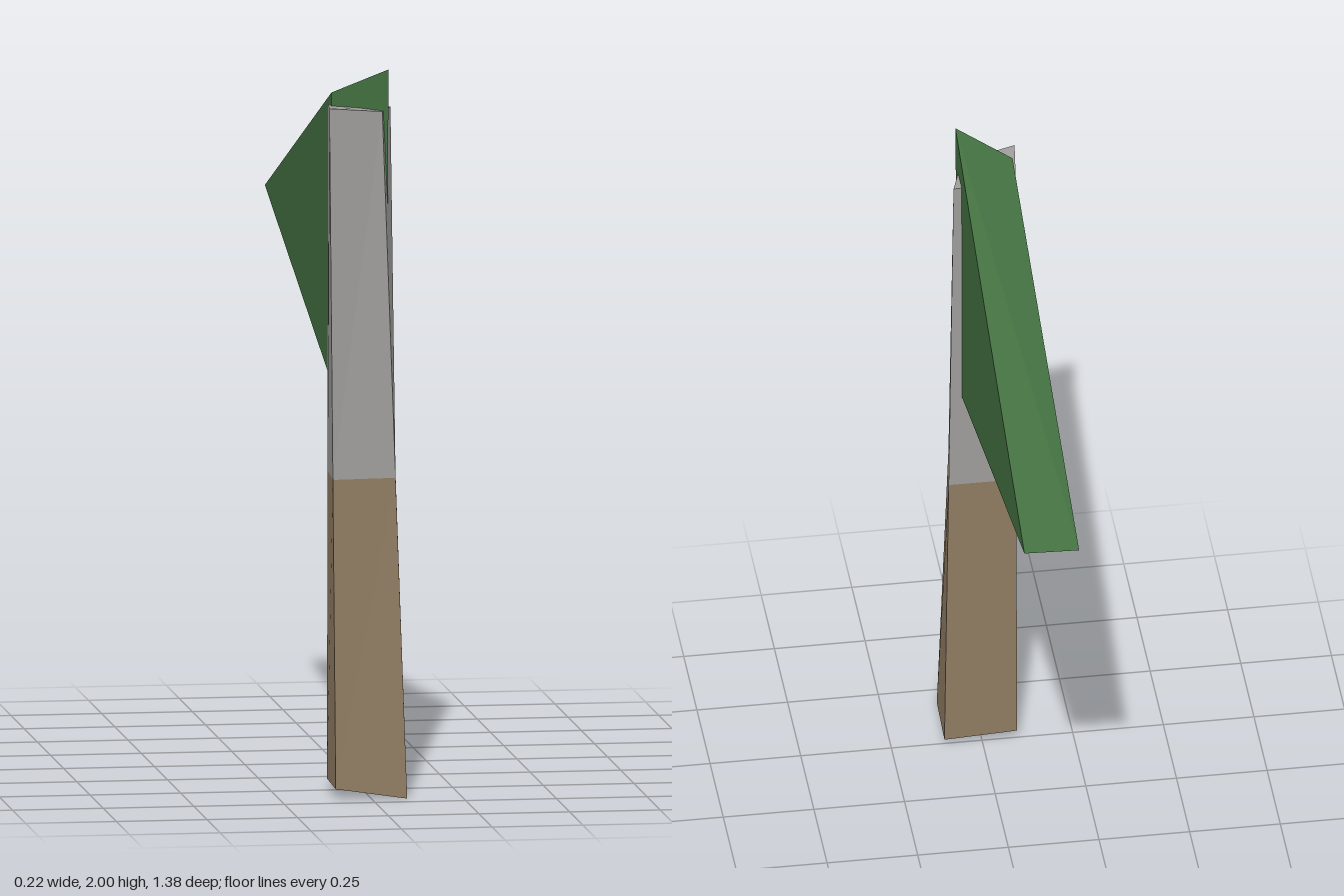
import * as THREE from 'three';

const material = (name, color) => {
  const m = new THREE.MeshStandardMaterial({ color });
  m.name = name;
  return m;
};

// Faceted solid between two matching loops of corners, with optional end caps.
function loft(name, a, b, mat, capA = true, capB = true) {
  const pos = [];
  const tri = (...corners) => corners.forEach((c) => pos.push(...c));
  const n = a.length;
  for (let i = 0; i < n; i++) {
    const j = (i + 1) % n;
    tri(a[i], a[j], b[j]);
    tri(a[i], b[j], b[i]);
  }
  for (let i = 1; i < n - 1; i++) {
    if (capA) tri(a[0], a[i + 1], a[i]);
    if (capB) tri(b[0], b[i], b[i + 1]);
  }
  const geometry = new THREE.BufferGeometry();
  geometry.setAttribute('position', new THREE.Float32BufferAttribute(pos, 3));
  geometry.computeVertexNormals();
  const mesh = new THREE.Mesh(geometry, mat);
  mesh.name = name;
  return mesh;
}

export function createModel() {
  const wood = material('brown wood', 0x8f7b61);
  const metal = material('grey post', 0x9e9d9b);
  const cloth = material('green cloth', 0x437040);

  // Crooked four-sided post: front left, front right, back right, back left
  const foot = [[-0.1, 0.03, 0.69], [0.097, 0, 0.69], [0.105, 0.02, 0.49], [-0.095, 0.03, 0.49]];
  const head = [[-0.11, 1.9, 0.64], [0.04, 1.885, 0.61], [0.08, 1.88, 0.49], [-0.092, 1.89, 0.49]];
  const split = foot.map((f, i) => {
    const t = (0.88 - f[1]) / (head[i][1] - f[1]);
    return f.map((v, k) => v + (head[i][k] - v) * t);
  });

  // Thick pennant: top, bottom and tip on each side
  const flagLeft = [[-0.09, 1.93, 0.54], [-0.09, 1.13, 0.54], [-0.095, 1.495, -0.69]];
  const flagRight = [[0.058, 2, 0.605], [0.057, 1.15, 0.577], [0.053, 1.485, -0.67]];

  const group = new THREE.Group();
  group.name = 'flagPost';
  group.add(
    loft('lowerPost', foot, split, wood, true, false),
    loft('upperPost', split, head, metal, false, true),
    loft('pennant', flagLeft, flagRight, cloth),
  );
  return group;
}
